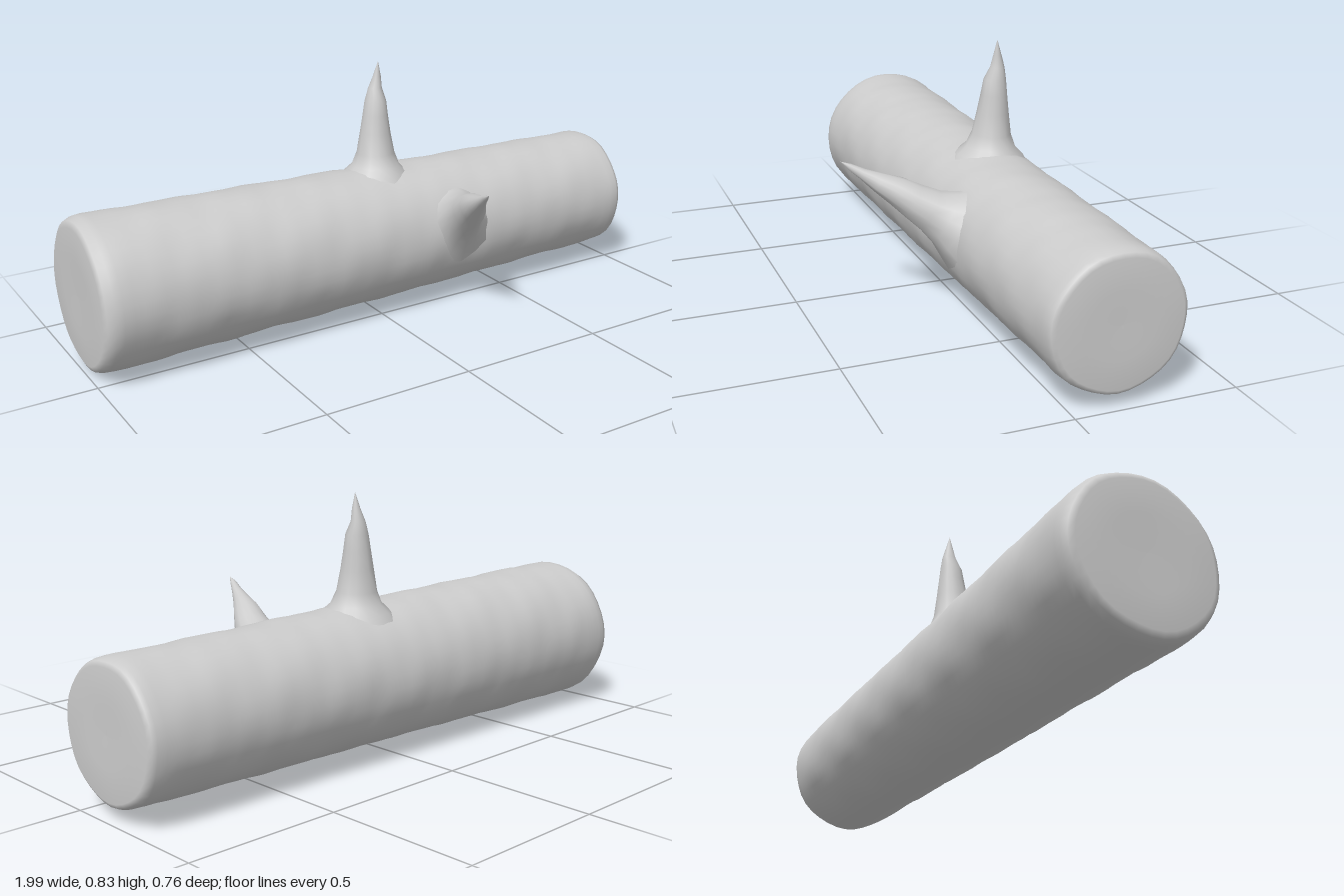
import * as THREE from 'three';

const bark = new THREE.MeshStandardMaterial({ color: 0xcccccc });
bark.name = 'pale grey';

// Smooth pseudo-random bumps over length s and angle a
const bump = (s, a) =>
  0.45 * Math.sin(3 * a + 9 * s) * Math.sin(14 * s + 1) +
  0.35 * Math.sin(7 * a - 23 * s + 2) +
  0.35 * Math.sin(5 * a + 37 * s) * Math.cos(2 * a - 19 * s);

// Skin a closed surface over rings [x, y, z, radius] set square to one axis
function sweep(name, rings, axis, sides, rough) {
  const t = axis.clone().normalize();
  const u = new THREE.Vector3(0, 0, 1).cross(t).normalize();
  const v = t.clone().cross(u);
  const pos = [], index = [];
  rings.forEach(([x, y, z, r], i) => {
    for (let j = 0; j < sides; j++) {
      const a = (j / sides) * Math.PI * 2;
      const s = x * t.x + y * t.y + z * t.z;
      const rr = r * (1 + rough * bump(s, a));
      const p = new THREE.Vector3(x, y, z)
        .addScaledVector(u, Math.cos(a) * rr)
        .addScaledVector(v, Math.sin(a) * rr);
      pos.push(p.x, p.y, p.z);
      if (i === rings.length - 1) continue;
      const k = (j + 1) % sides, m = i * sides;
      index.push(m + j, m + k, m + sides + j, m + k, m + sides + k, m + sides + j);
    }
  });
  const g = new THREE.BufferGeometry();
  g.setAttribute('position', new THREE.Float32BufferAttribute(pos, 3));
  g.setIndex(index);
  g.computeVertexNormals();
  const mesh = new THREE.Mesh(g, bark);
  mesh.name = name;
  return mesh;
}

export function createModel() {
  const group = new THREE.Group();
  group.name = 'log';

  // Trunk: slightly tapered, with softly rounded sawn ends
  const cy = 0.254, cz = -0.133;
  const rings = [[-0.995, cy, cz, 0], [-0.997, cy, cz, 0.12], [-0.997, cy, cz, 0.215],
    [-0.988, cy, cz, 0.233], [-0.965, cy, cz, 0.243]];
  const n = 56;
  for (let i = 0; i <= n; i++) {
    const f = i / n;
    rings.push([-0.94 + f * 1.88, cy, cz, 0.245 - 0.034 * f]);
  }
  rings.push([0.97, cy, cz, 0.209], [0.984, cy, cz, 0.203], [0.992, cy, cz, 0.19],
    [0.993, cy, cz, 0.1], [0.991, cy, cz, 0]);
  group.add(sweep('trunk', rings, new THREE.Vector3(1, 0, 0), 36, 0.016));

  // Upright broken branch with a flared foot
  group.add(sweep('topBranch', [
    [0.065, 0.42, -0.145, 0.135], [0.065, 0.465, -0.146, 0.108], [0.067, 0.49, -0.147, 0.081],
    [0.068, 0.53, -0.15, 0.064], [0.07, 0.60, -0.154, 0.052], [0.073, 0.66, -0.157, 0.043],
    [0.075, 0.71, -0.158, 0.036], [0.077, 0.75, -0.165, 0.023],
    [0.082, 0.79, -0.162, 0.013], [0.085, 0.84, -0.16, 0],
  ], new THREE.Vector3(0.02, 1, -0.03), 16, 0.06));

  // Slanting branch on the front
  group.add(sweep('frontBranch', [
    [0.265, 0.295, 0.0, 0.15], [0.258, 0.316, 0.045, 0.117], [0.252, 0.333, 0.08, 0.089],
    [0.244, 0.358, 0.125, 0.068], [0.228, 0.389, 0.175, 0.056], [0.207, 0.421, 0.222, 0.045],
    [0.185, 0.448, 0.272, 0.031], [0.168, 0.476, 0.32, 0.017],
    [0.155, 0.498, 0.355, 0.01], [0.148, 0.515, 0.382, 0],
  ], new THREE.Vector3(-0.12, 0.21, 0.36), 16, 0.07));

  return group;
}
